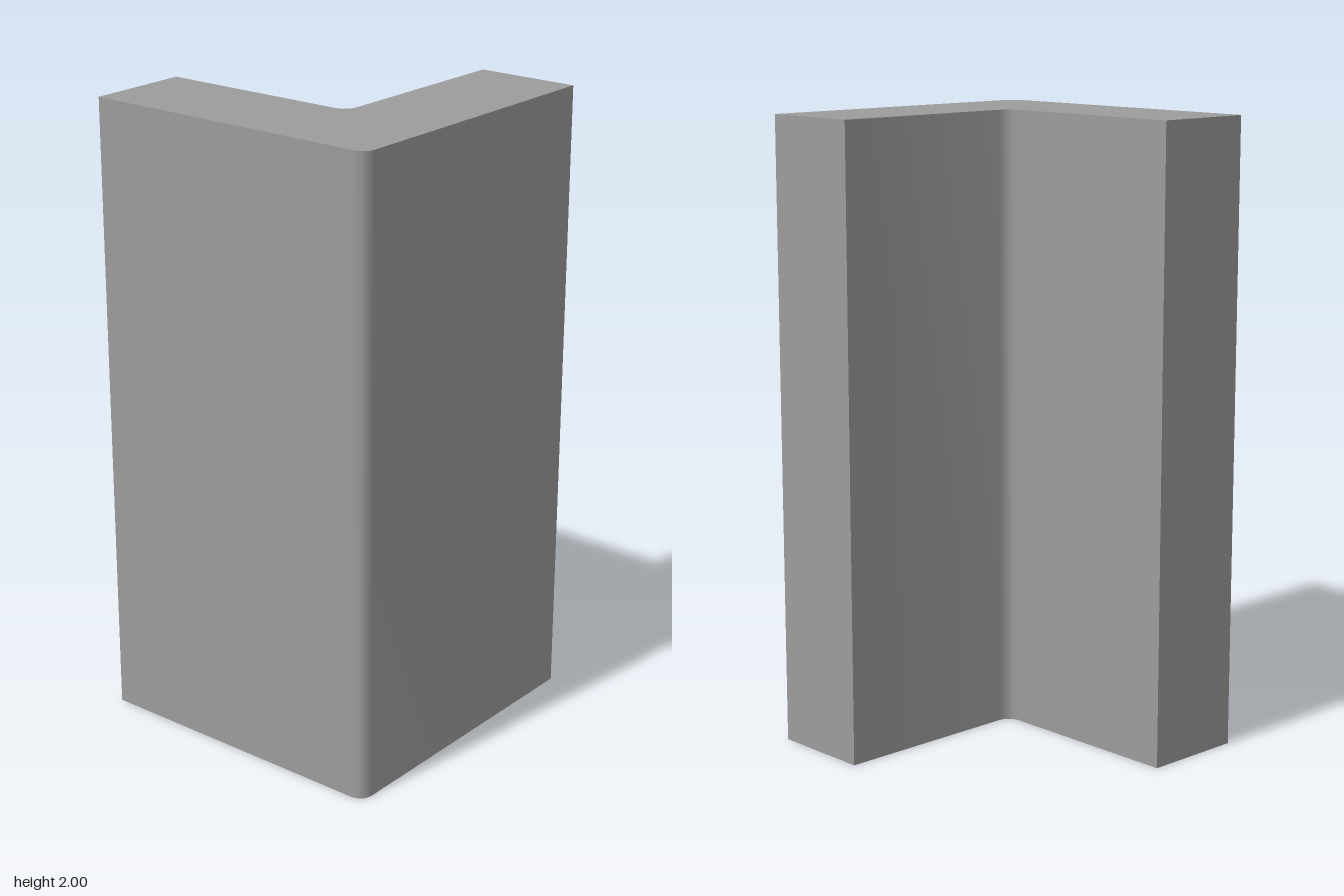
import * as THREE from 'three';
import { toCreasedNormals } from 'three/addons/utils/BufferGeometryUtils.js';

const HALF = 0.5;      // half the footprint
const INNER = -0.167;  // inner faces of the two legs
const HEIGHT = 2;
const RADIUS = 0.042;  // rounding of the bend
const FACETS = 3;      // flat strips around each rounding

// Points of a quarter circle that rounds the corner at (corner, corner)
function quarterRound(corner, startAngle, direction) {
  const centre = corner + RADIUS;
  return Array.from({ length: FACETS + 1 }, (_, i) => {
    const a = startAngle + direction * (i / FACETS) * Math.PI / 2;
    return new THREE.Vector2(centre + RADIUS * Math.cos(a), centre + RADIUS * Math.sin(a));
  });
}

// L-shaped plan, drawn with shape y pointing to the back (-z)
function anglePlan() {
  return new THREE.Shape([
    ...quarterRound(-HALF, Math.PI, 1),            // outer rounded corner
    new THREE.Vector2(HALF, -HALF),
    new THREE.Vector2(HALF, INNER),
    ...quarterRound(INNER, Math.PI * 1.5, -1),     // inner fillet
    new THREE.Vector2(INNER, HALF),
    new THREE.Vector2(-HALF, HALF),
  ]);
}

export function createModel() {
  const group = new THREE.Group();
  group.name = 'cornerPost';

  // plan extruded upward, smooth only around the rounded corners
  const extruded = new THREE.ExtrudeGeometry(anglePlan(), { depth: HEIGHT, bevelEnabled: false });
  extruded.rotateX(-Math.PI / 2);
  const post = new THREE.Mesh(
    toCreasedNormals(extruded, Math.PI / 4),
    new THREE.MeshStandardMaterial({ color: 0x9c9c9c }),
  );
  post.name = 'anglePost';
  group.add(post);
  return group;
}
